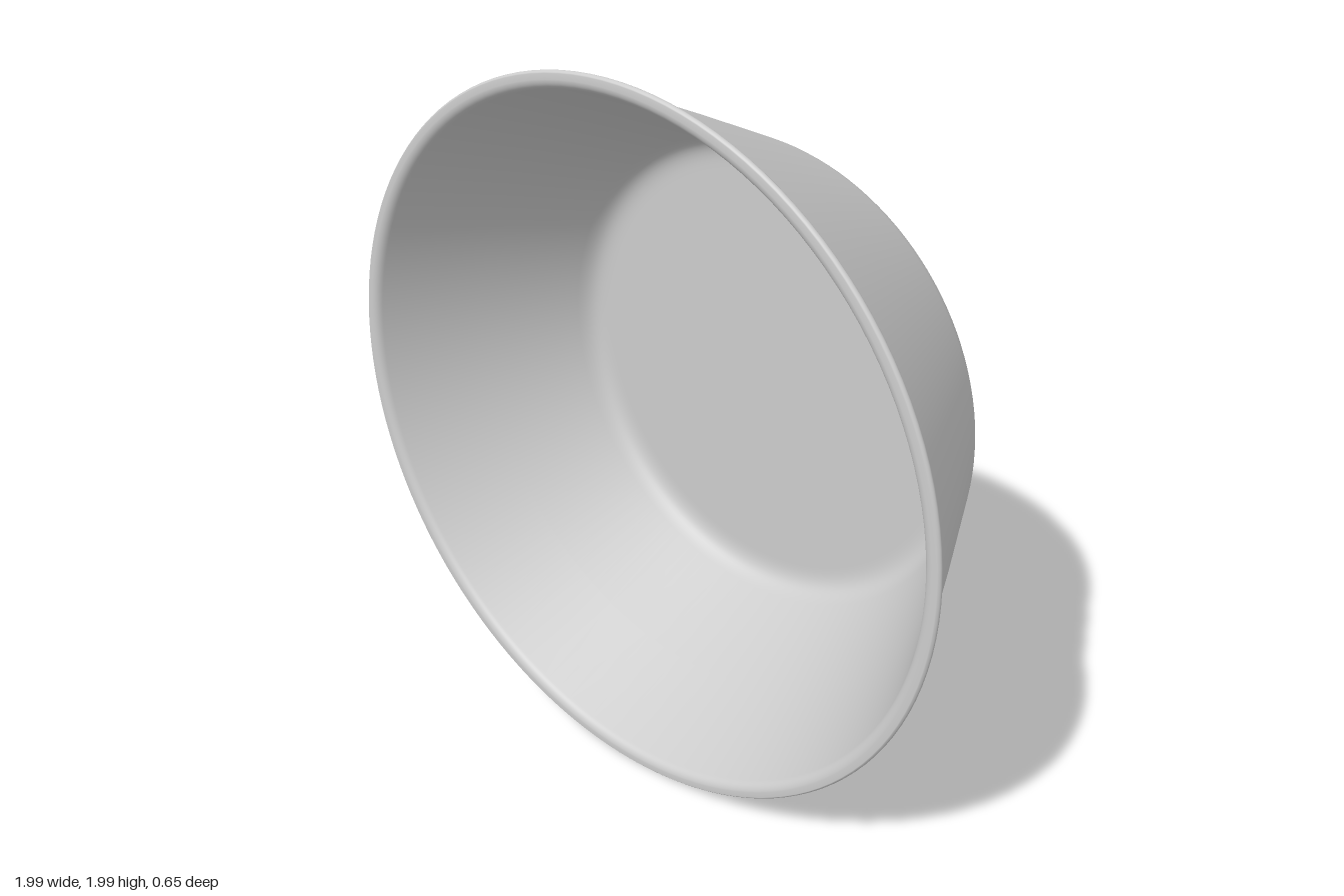
import * as THREE from 'three';

export function createModel() {
  const group = new THREE.Group();
  const material = new THREE.MeshStandardMaterial({ color: 0xcccccc });

  // Closed cross-section: x is the radius, y the depth along the bowl's axis
  const profile = new THREE.Path();
  profile.moveTo(0, -0.325);
  // Outside: flat base, rounded corner, sloping wall
  profile.lineTo(0.6, -0.325);
  profile.lineTo(0.62, -0.325);
  profile.bezierCurveTo(0.67, -0.325, 0.695, -0.31, 0.72, -0.255);
  profile.lineTo(0.85, 0.025);
  profile.lineTo(0.962, 0.275);
  // Flared rim with a rounded lip
  profile.quadraticCurveTo(0.972, 0.297, 0.99, 0.302);
  profile.quadraticCurveTo(1.003, 0.313, 0.99, 0.322);
  profile.lineTo(0.975, 0.322);
  profile.quadraticCurveTo(0.955, 0.32, 0.948, 0.3);
  // Inside: wall, rounded corner, flat floor
  profile.lineTo(0.83, 0.03);
  profile.lineTo(0.7, -0.248);
  profile.bezierCurveTo(0.68, -0.29, 0.66, -0.303, 0.61, -0.303);
  profile.lineTo(0.59, -0.303);
  profile.lineTo(0, -0.303);

  // Turned on its side, opening toward the front
  const bowl = new THREE.Mesh(new THREE.LatheGeometry(profile.getPoints(10), 128), material);
  bowl.name = 'bowl';
  bowl.rotation.x = Math.PI / 2;
  bowl.position.y = 1;
  group.add(bowl);

  return group;
}
